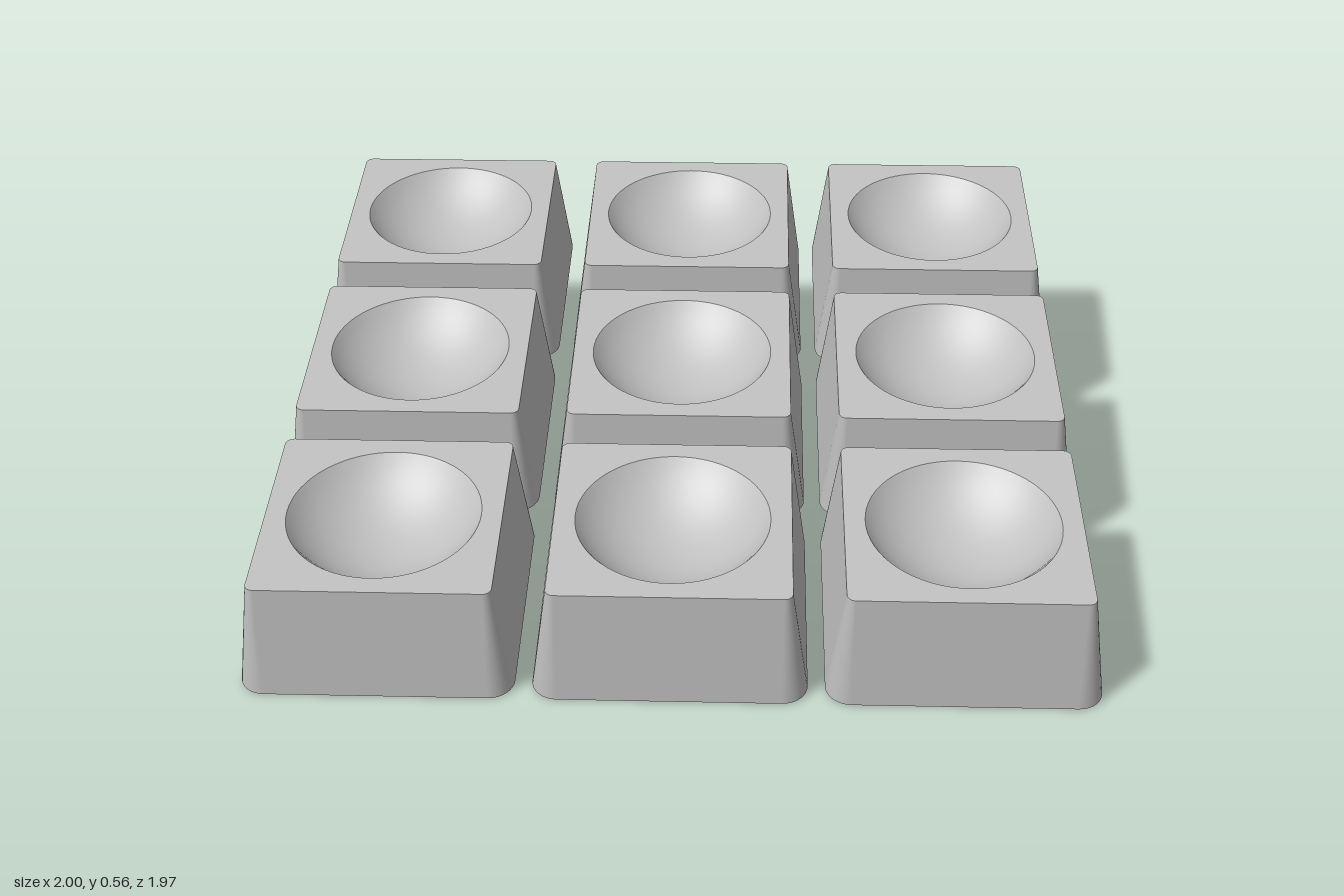
import * as THREE from 'three';

const TILT = 0.143;      // rise per unit of depth
const HEIGHT = 0.286;
const HALF = 0.315;      // half depth of a key
const DISH = { r: 0.23, depth: 0.118, z: 0.037 };

// Rounded rectangle outline in (x, z)
function outline(halfWidth, back, front, r) {
  const pts = [];
  const centres = [[1, front - r], [-1, front - r], [-1, back + r], [1, back + r]];
  centres.forEach(([side, z], corner) => {
    for (let i = 0; i <= 8; i++) {
      const a = (corner + i / 8) * Math.PI / 2;
      pts.push(new THREE.Vector2(side * (halfWidth - r) + r * Math.cos(a), z + r * Math.sin(a)));
    }
  });
  return pts;
}

// Tapered side wall between two outlines
function wall(low, high) {
  const pos = [], idx = [], n = low.length;
  low.forEach((p, i) => {
    pos.push(p.x, 0, p.y, high[i].x, HEIGHT, high[i].y);
    const a = 2 * i, b = 2 * ((i + 1) % n);
    idx.push(a, a + 1, b, a + 1, b + 1, b);
  });
  const g = new THREE.BufferGeometry();
  g.setAttribute('position', new THREE.Float32BufferAttribute(pos, 3));
  g.setIndex(idx);
  g.computeVertexNormals();
  return g;
}

export function createModel() {
  const model = new THREE.Group();
  model.name = 'keypad';
  const grey = new THREE.MeshStandardMaterial({ color: 0xc0c0c0 });
  grey.name = 'light grey';

  const low = outline(0.32, -HALF, HALF, 0.06);
  const high = outline(0.28, -0.24, HALF, 0.02);

  // Top face with a round opening
  const topShape = new THREE.Shape(high.map(p => new THREE.Vector2(p.x, -p.y)));
  const hole = new THREE.Path();
  hole.absarc(0, -DISH.z, DISH.r, 0, Math.PI * 2, true);
  topShape.holes.push(hole);
  const top = new THREE.ShapeGeometry(topShape, 32).rotateX(-Math.PI / 2).translate(0, HEIGHT, 0);

  const base = new THREE.ShapeGeometry(new THREE.Shape(low)).rotateX(Math.PI / 2);

  // Spherical finger dish, from rim to lowest point
  const R = (DISH.r ** 2 + DISH.depth ** 2) / (2 * DISH.depth);
  const rimAngle = Math.asin(DISH.r / R);
  const profile = [];
  for (let i = 0; i <= 14; i++) {
    const a = rimAngle * (1 - i / 14);
    profile.push(new THREE.Vector2(R * Math.sin(a), R - DISH.depth - R * Math.cos(a)));
  }
  const dish = new THREE.LatheGeometry(profile, 64).translate(0, HEIGHT, DISH.z);

  // Slope every part upward toward the back
  const shear = new THREE.Matrix4().set(
    1, 0, 0, 0,
    0, 1, -TILT, 0,
    0, 0, 1, 0,
    0, 0, 0, 1);
  const parts = { keyWall: wall(low, high), keyTop: top, keyBase: base, keyDish: dish };
  Object.values(parts).forEach(g => g.applyMatrix4(shear));

  // Three by three grid, each row higher than the one in front
  for (let row = -1; row <= 1; row++) {
    for (let col = -1; col <= 1; col++) {
      const key = new THREE.Group();
      key.name = 'key';
      for (const [name, geometry] of Object.entries(parts)) {
        const mesh = new THREE.Mesh(geometry, grey);
        mesh.name = name;
        key.add(mesh);
      }
      const z = row * 0.672;
      key.position.set(col * 0.68, (0.987 - z) * TILT, z);
      model.add(key);
    }
  }
  return model;
}
